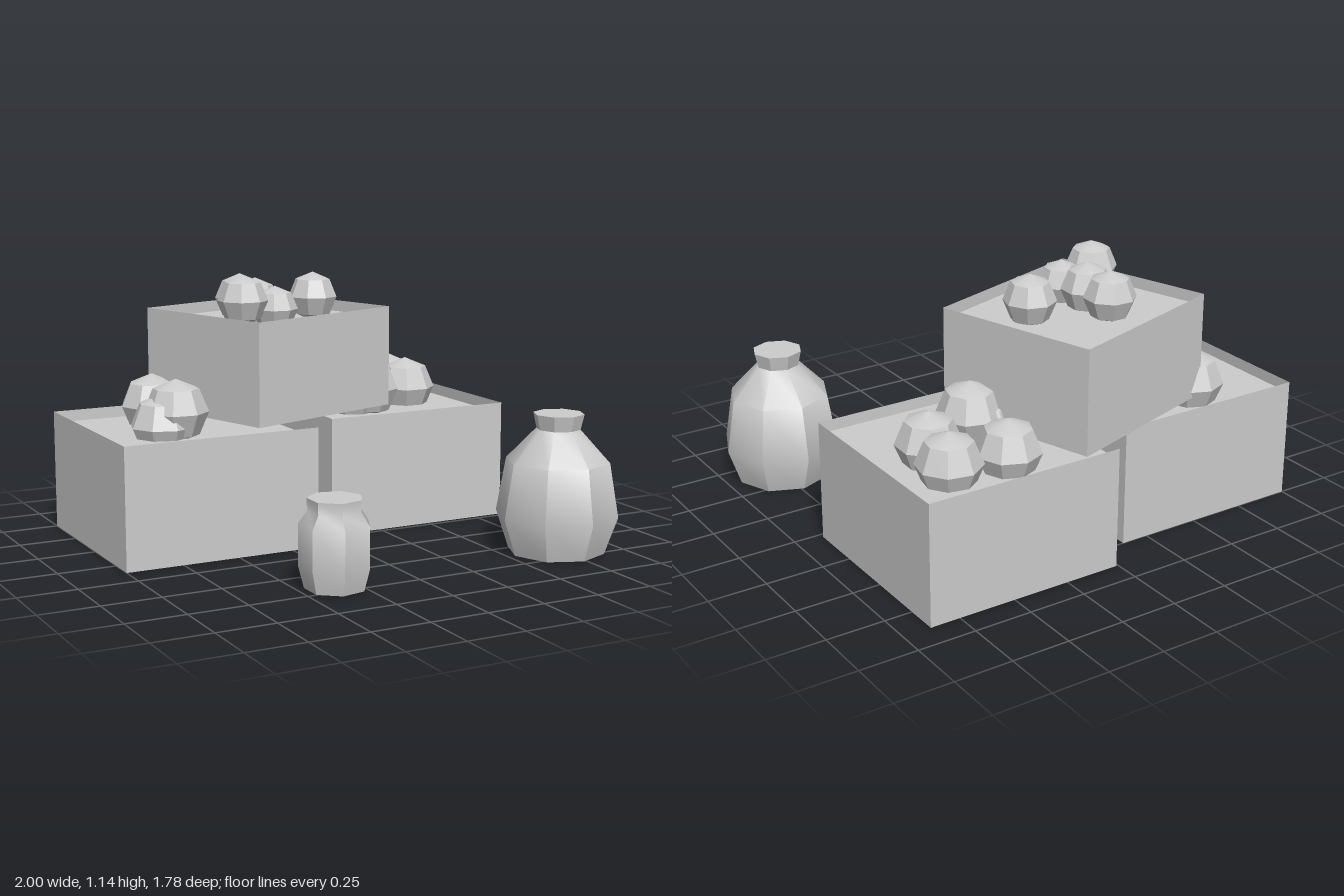
import * as THREE from 'three';
import { toCreasedNormals } from 'three/addons/utils/BufferGeometryUtils.js';

const CREASE = 0.69;

export function createModel() {
  const model = new THREE.Group();
  model.name = 'marketGoods';
  const clay = new THREE.MeshStandardMaterial({ color: 0xcccccc, side: THREE.DoubleSide });
  clay.name = 'pale grey';

  const add = (name, geometry, x, y, z, turn = 0) => {
    const mesh = new THREE.Mesh(geometry, clay);
    mesh.name = name;
    mesh.position.set(x, y, z);
    mesh.rotation.y = turn;
    model.add(mesh);
    return mesh;
  };

  // Crate with thin walls: the top face is sunk below the rim
  const crate = (name, w, h, d, x, y, z, turn) => {
    const g = new THREE.BoxGeometry(w, h, d);
    const p = g.attributes.position;
    for (let i = 8; i < 12; i++) p.setY(i, h / 2 - 0.05);
    add(name, g, x, y + h / 2, z, turn);
  };
  crate('leftStackCrate', 0.87, 0.52, 0.87, -0.565, 0, -0.315, 0);
  crate('rightStackCrate', 0.87, 0.52, 0.865, 0.445, 0, -0.457, 0);
  crate('upperCrate', 0.795, 0.445, 0.724, -0.1, 0.525, -0.423, 0.311);

  // Faceted fruit: [x, top height, z, radius, turn]
  const fruitShape = toCreasedNormals(new THREE.SphereGeometry(1, 8, 4), CREASE);
  const fruits = {
    lowerFruitA: [
      [-0.61, 0.69, -0.56, 0.14, 0],
      [-0.58, 0.66, -0.33, 0.125, 0.3],
      [-0.69, 0.655, -0.24, 0.14, 0.1],
      [-0.63, 0.715, -0.23, 0.14, 0.3],
    ],
    lowerFruitB: [
      [0.41, 0.68, -0.705, 0.137, 0],
      [0.66, 0.675, -0.675, 0.137, 0.2],
      [0.637, 0.685, -0.485, 0.137, 0.35],
      [0.38, 0.715, -0.38, 0.14, 0.1],
      [0.31, 0.64, -0.4, 0.125, 0],
    ],
    upperFruit: [
      [-0.19, 1.115, -0.535, 0.11, 0.35],
      [-0.185, 1.11, -0.385, 0.11, 0.35],
      [-0.155, 1.085, -0.245, 0.1, 0.3],
      [-0.31, 1.14, -0.24, 0.11, 0.3],
      [0.11, 1.12, -0.405, 0.11, 0.1],
    ],
  };
  for (const [name, list] of Object.entries(fruits)) {
    for (const [x, top, z, r, turn] of list) {
      add(name, fruitShape, x, top - r, z, turn).scale.setScalar(r);
    }
  }

  // Turned vessels with closed tops and bottoms
  const vessel = (name, sides, start, profile, x, z) => {
    const points = profile.map(([r, y]) => new THREE.Vector2(r, y));
    const g = new THREE.LatheGeometry(points, sides, start);
    add(name, toCreasedNormals(g, CREASE), x, 0, z);
  };
  vessel('sack', 8, 0, [
    [0, 0], [0.205, 0], [0.26, 0.16], [0.22, 0.39],
    [0.093, 0.525], [0.108, 0.59], [0, 0.59],
  ], 0.737, 0.628);
  vessel('jar', 7, Math.PI / 2, [
    [0, 0], [0.123, 0], [0.146, 0.09], [0.146, 0.26],
    [0.11, 0.312], [0.113, 0.362], [0, 0.362],
  ], -0.352, 0.695);

  return model;
}
